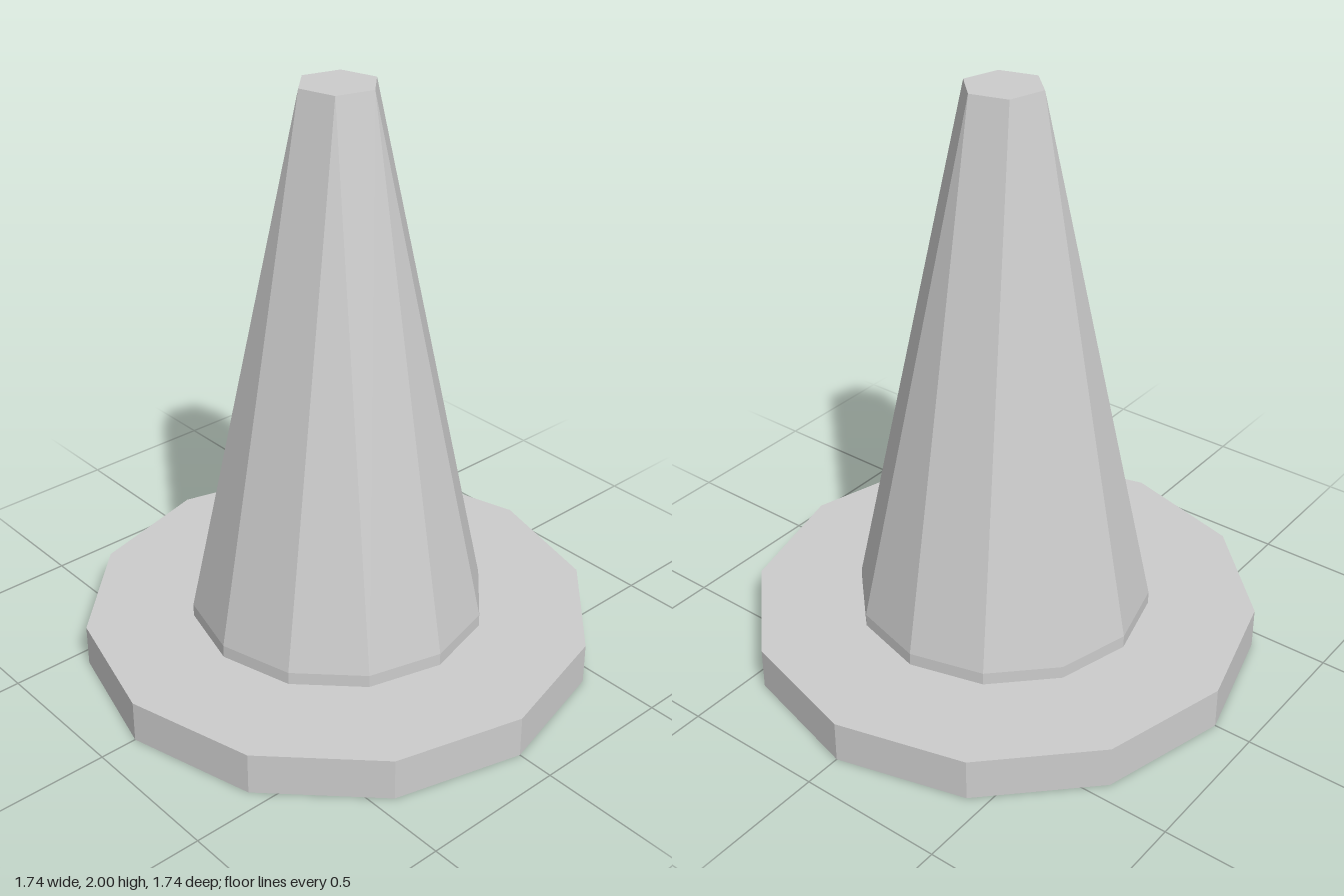
import * as THREE from 'three';

const BASE_R = 0.872, BASE_H = 0.146;
const BODY_R = 0.505, COLLAR_TOP = 0.19;
const TIP_R = 0.131, TOP = 2;

// Point on a horizontal ring, angle in degrees from +z towards +x
function ringPoint(radius, degrees, y) {
  const a = THREE.MathUtils.degToRad(degrees);
  return [radius * Math.sin(a), y, radius * Math.cos(a)];
}

// Taper from a twelve-sided foot to a six-sided flat tip, as triangles and trapezoids
function taperGeometry() {
  const positions = [];
  const triangle = (a, b, c) => positions.push(...a, ...b, ...c);
  const centre = [0, TOP, 0];
  for (let k = 0; k < 6; k++) {
    const start = k * 60;
    const foot = [0, 30, 60].map((d) => ringPoint(BODY_R, start + d, COLLAR_TOP));
    const tip = ringPoint(TIP_R, start + 15, TOP);
    const nextTip = ringPoint(TIP_R, start + 75, TOP);
    triangle(foot[0], foot[1], tip);
    triangle(foot[1], foot[2], nextTip);
    triangle(foot[1], nextTip, tip);
    triangle(centre, tip, nextTip);
  }
  const geometry = new THREE.BufferGeometry();
  geometry.setAttribute('position', new THREE.Float32BufferAttribute(positions, 3));
  geometry.computeVertexNormals();
  return geometry;
}

export function createModel() {
  const group = new THREE.Group();
  group.name = 'cone';
  const grey = new THREE.MeshStandardMaterial({ color: 0xcccccc, flatShading: true });
  grey.name = 'light grey';

  const add = (name, geometry, y = 0) => {
    const mesh = new THREE.Mesh(geometry, grey);
    mesh.name = name;
    mesh.position.y = y;
    group.add(mesh);
  };

  // Flat twelve-sided foot plate
  add('basePlate', new THREE.CylinderGeometry(BASE_R, BASE_R, BASE_H, 12), BASE_H / 2);

  // Short upright band under the taper
  const collarH = COLLAR_TOP - BASE_H;
  add('collar', new THREE.CylinderGeometry(BODY_R, BODY_R, collarH, 12, 1, true), BASE_H + collarH / 2);

  // Tall tapering body with its flat tip
  add('taperedBody', taperGeometry());

  return group;
}
